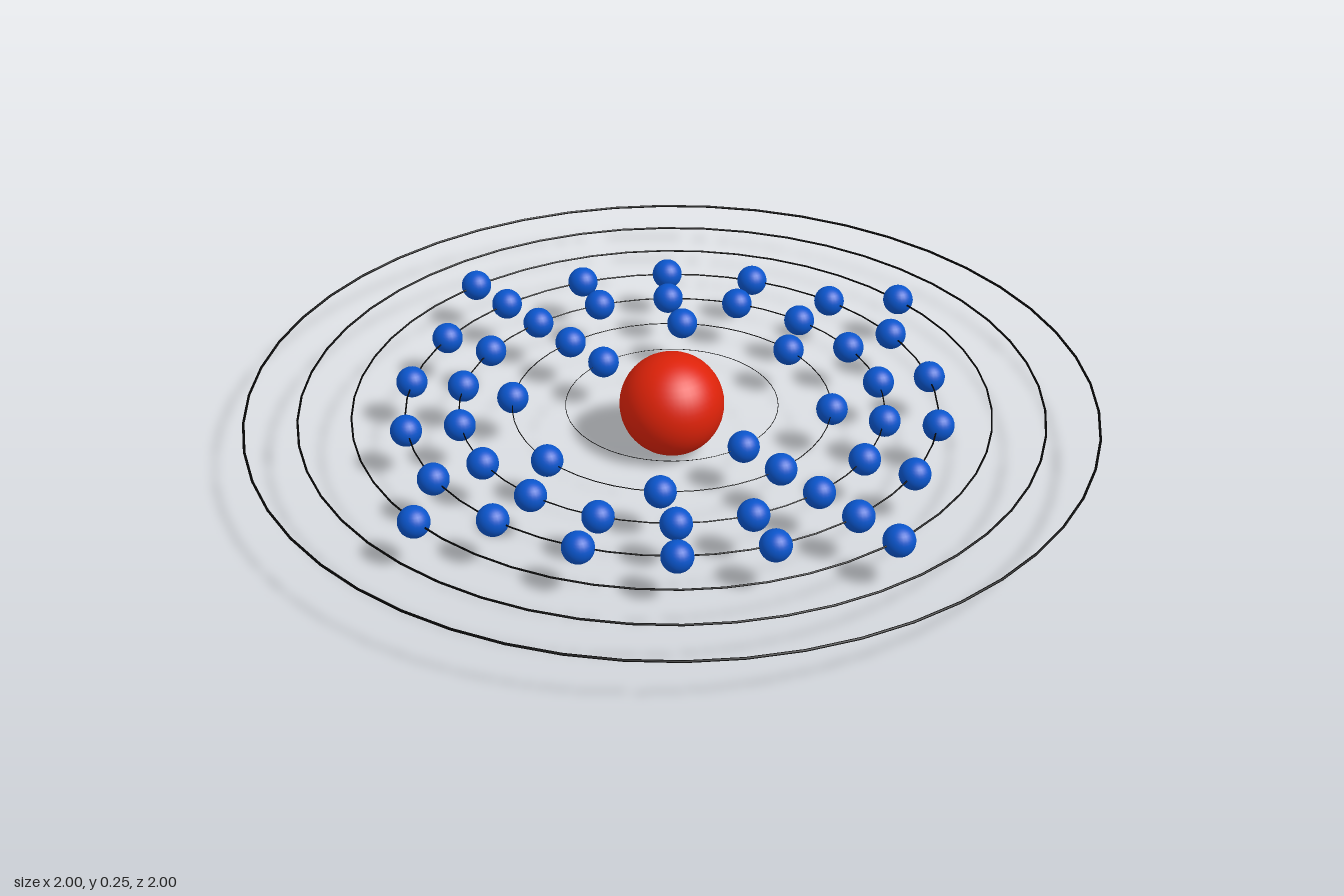
import * as THREE from 'three';

export function createModel() {
  const group = new THREE.Group();
  const red = new THREE.MeshStandardMaterial({ color: 0xdd2209 });
  const blue = new THREE.MeshStandardMaterial({ color: 0x0a55cc });
  const black = new THREE.MeshStandardMaterial({ color: 0x050505 });
  const midY = 0.125;

  const add = (name, geometry, material, x = 0, z = 0) => {
    const mesh = new THREE.Mesh(geometry, material);
    mesh.name = name;
    mesh.position.set(x, midY, z);
    group.add(mesh);
    return mesh;
  };

  // Central ball
  add('nucleus', new THREE.SphereGeometry(0.123, 48, 24), red);

  // Seven thin rings, thicker towards the outside, with evenly spaced balls
  const electronGeometry = new THREE.SphereGeometry(0.037, 24, 16);
  const electronCounts = [2, 8, 18, 18, 4, 0, 0];
  electronCounts.forEach((count, shell) => {
    const radius = 0.25 + shell * 0.125;
    const tube = 0.003 * radius;
    const ring = new THREE.TorusGeometry(radius - tube, tube, 8, 50).rotateX(Math.PI / 2);
    add(`orbitRing${shell + 1}`, ring, black);

    for (let i = 0; i < count; i++) {
      const angle = (i / count) * Math.PI * 2;
      add(`electron${shell + 1}_${i + 1}`, electronGeometry, blue,
        radius * Math.sin(angle), -radius * Math.cos(angle));
    }
  });

  return group;
}
